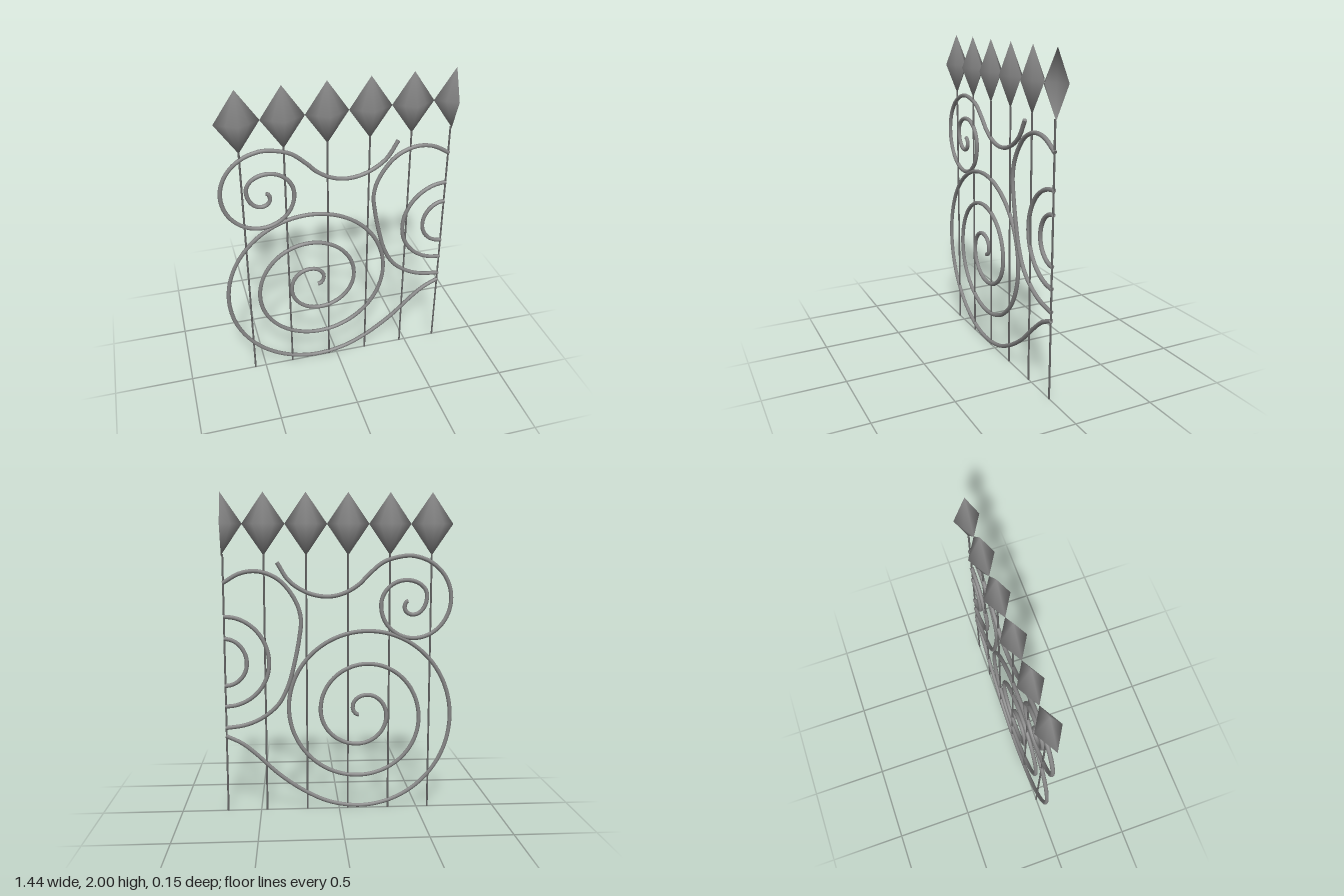
import * as THREE from 'three';

const iron = new THREE.MeshStandardMaterial({ color: 0x868686, side: THREE.DoubleSide });
const darkIron = new THREE.MeshStandardMaterial({ color: 0x686868 });
const EDGE = 0.72; // plane where the panel ends
const TUBE = 0.013;

// Joins spiral extremes (top, left, bottom, right...) with quarter ellipses.
function spiral(extremes) {
  const points = [new THREE.Vector3(...extremes[0], 0)];
  for (let i = 0; i + 1 < extremes.length; i++) {
    const [px, py] = extremes[i], [qx, qy] = extremes[i + 1];
    const horizontal = i % 2 === 0;
    const cx = horizontal ? px : qx, cy = horizontal ? qy : py;
    for (let k = 1; k <= 6; k++) {
      const t = (k / 6) * Math.PI / 2, c = Math.cos(t), s = Math.sin(t);
      points.push(new THREE.Vector3(
        cx + (px - cx) * c + (qx - cx) * s,
        cy + (py - cy) * c + (qy - cy) * s, 0));
    }
  }
  return points;
}

const free = (list) => list.map(([x, y]) => new THREE.Vector3(x, y, 0));

// Round iron rod along a smooth path, closed at both ends.
function scroll(name, points) {
  const group = new THREE.Group();
  group.name = name;
  const curve = new THREE.CatmullRomCurve3(points, false, 'centripetal');
  const segments = points.length * 4;
  group.add(new THREE.Mesh(new THREE.TubeGeometry(curve, segments, TUBE, 8), iron));
  for (const t of [0, 1]) {
    const cap = new THREE.Mesh(new THREE.CircleGeometry(TUBE, 8), iron);
    cap.position.copy(curve.getPointAt(t));
    cap.quaternion.setFromUnitVectors(new THREE.Vector3(0, 0, 1),
      curve.getTangentAt(t).multiplyScalar(t ? 1 : -1));
    group.add(cap);
  }
  group.children.forEach((m) => { m.name = name + 'Rod'; });
  return group;
}

// Four-sided diamond with soft normals: a coarse sphere pressed onto an octahedron.
function diamond(half) {
  const geometry = half
    ? new THREE.SphereGeometry(1, 4, 2, -Math.PI / 2, Math.PI)
    : new THREE.SphereGeometry(1, 8, 2);
  const pos = geometry.attributes.position;
  const v = new THREE.Vector3();
  for (let i = 0; i < pos.count; i++) {
    v.fromBufferAttribute(pos, i).divideScalar(v.manhattanLength());
    pos.setXYZ(i, v.x, v.y, v.z);
  }
  return geometry.scale(0.13, 0.19, 0.076);
}

export function createModel() {
  const model = new THREE.Group();
  model.name = 'fencePanel';

  // Upright bars with diamond finials; the last finial is cut in half
  for (let i = 0; i < 6; i++) {
    const last = i === 5;
    const x = -0.572 + i * 0.2586;
    const bar = new THREE.Mesh(new THREE.CylinderGeometry(0.006, 0.006, 1.63, 8), darkIron);
    bar.name = 'bar';
    bar.position.set(last ? 0.711 : x, 0.815, 0);
    const finial = new THREE.Mesh(diamond(last), iron);
    finial.name = 'finial';
    finial.position.set(last ? EDGE : x, 1.81, 0);
    model.add(bar, finial);
  }

  // Large lower scroll with its tail sweeping up to the panel edge
  model.add(scroll('lowerScroll', [
    ...spiral([[-0.124, 0.617], [-0.085, 0.67], [-0.177, 0.745], [-0.3, 0.607],
      [-0.112, 0.427], [0.118, 0.655], [-0.18, 0.944], [-0.508, 0.59], [-0.118, 0.22],
      [0.318, 0.67], [-0.18, 1.152], [-0.708, 0.6], [-0.125, 0.016]]),
    ...free([[0.06, 0.045], [0.22, 0.12], [0.377, 0.23], [0.536, 0.379],
      [0.615, 0.442], [0.715, 0.492]]),
  ]));

  // Small upper scroll running out into a hanging curve
  model.add(scroll('upperScroll', [
    ...spiral([[-0.43, 1.338], [-0.408, 1.3], [-0.462, 1.253], [-0.548, 1.37],
      [-0.42, 1.468], [-0.261, 1.31], [-0.467, 1.105], [-0.7, 1.354], [-0.425, 1.618]]),
    ...free([[-0.282, 1.583], [-0.182, 1.503], [-0.124, 1.444], [-0.034, 1.39],
      [0.07, 1.368], [0.193, 1.391], [0.309, 1.465], [0.382, 1.578]]),
  ]));

  // Centre scroll, of which only the half inside the panel exists
  model.add(scroll('centreScrollOuter', free([
    [0.715, 1.453], [0.615, 1.51], [0.52, 1.526], [0.43, 1.505], [0.351, 1.454],
    [0.266, 1.333], [0.238, 1.227], [0.25, 1.105], [0.282, 0.946], [0.319, 0.813],
    [0.383, 0.691], [0.483, 0.607], [0.588, 0.562], [0.715, 0.543]])));
  model.add(scroll('centreScrollMiddle',
    spiral([[0.715, 1.248], [0.438, 0.955], [0.715, 0.681]])));
  model.add(scroll('centreScrollInner',
    spiral([[0.715, 1.11], [0.576, 0.955], [0.715, 0.813]])));

  return model;
}
